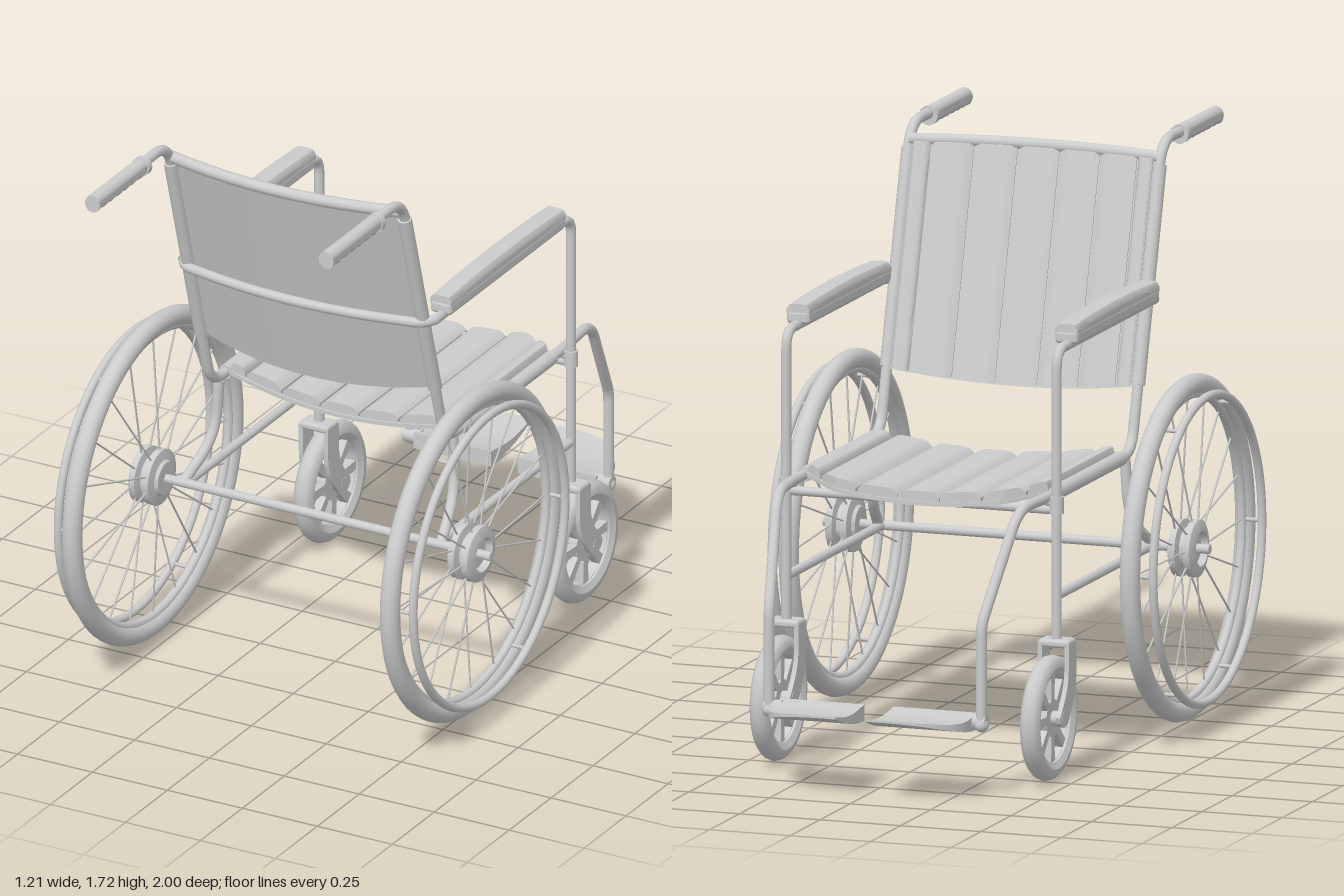
import * as THREE from 'three';
import { toCreasedNormals } from 'three/addons/utils/BufferGeometryUtils.js';
import { RoundedBoxGeometry } from 'three/addons/geometries/RoundedBoxGeometry.js';

const mat = new THREE.MeshStandardMaterial({ color: 0xcccccc, side: THREE.DoubleSide });
const V = (x, y, z) => new THREE.Vector3(x, y, z);

function add(parent, name, geo, x = 0, y = 0, z = 0) {
  const m = new THREE.Mesh(geo, mat);
  m.name = name;
  m.position.set(x, y, z);
  parent.add(m);
  return m;
}

// straight round bar between two points
function bar(parent, name, a, b, r, sides = 14) {
  const m = add(parent, name, new THREE.CylinderGeometry(r, r, a.distanceTo(b), sides));
  m.position.copy(a).lerp(b, 0.5);
  m.quaternion.setFromUnitVectors(V(0, 1, 0), b.clone().sub(a).normalize());
  return m;
}

// bent tube: straight runs joined by rounded corners of the given size
function bentTube(parent, name, pts, bends, r, segs = 120) {
  const path = new THREE.CurvePath();
  let last = pts[0];
  for (let i = 1; i < pts.length - 1; i++) {
    const p = pts[i], k = bends[i - 1];
    const a = p.clone().add(pts[i - 1].clone().sub(p).setLength(k));
    const b = p.clone().add(pts[i + 1].clone().sub(p).setLength(k));
    path.add(new THREE.LineCurve3(last, a));
    path.add(new THREE.QuadraticBezierCurve3(a, p, b));
    last = b;
  }
  path.add(new THREE.LineCurve3(last, pts[pts.length - 1]));
  return add(parent, name, new THREE.TubeGeometry(path, segs, r, 12));
}

// move every vertex of a unit box by a rule
function shapedBox(sx, sy, sz, rule) {
  const g = new THREE.BoxGeometry(1, 1, 1, sx, sy, sz), p = g.attributes.position;
  for (let i = 0; i < p.count; i++) {
    const q = rule(p.getX(i) + 0.5, p.getY(i) + 0.5, p.getZ(i) + 0.5);
    p.setXYZ(i, q.x, q.y, q.z);
  }
  return toCreasedNormals(g, 0.7);
}

// sling of cloth: a backing sheet plus padded strips; at(x, v, h) places a point
function sling(parent, name, at, sheet, pad) {
  const g = new THREE.Group();
  g.name = name;
  parent.add(g);
  add(g, name + 'Sheet', shapedBox(24, 8, 1, (u, v, w) => at((u - 0.5) * 0.76, v, w * sheet)));
  const seams = [-0.375, -0.32, -0.195, -0.065, 0.065, 0.195, 0.32, 0.375];
  for (let i = 0; i < seams.length - 1; i++) {
    const a = seams[i] + 0.003, b = seams[i + 1] - 0.003;
    add(g, name + 'Strip', shapedBox(8, 10, 1, (u, v, w) => {
      const puff = 0.5 + 0.5 * Math.sqrt(1 - Math.pow(2 * u - 1, 4));
      return at(a + (b - a) * u, 0.01 + 0.98 * v, sheet * 0.5 + w * pad * puff);
    }));
  }
}

const lathe = (pts, segs = 40) => toCreasedNormals(
  new THREE.LatheGeometry(pts.map(p => new THREE.Vector2(p[0], p[1])), segs).rotateZ(-Math.PI / 2), 0.6);
const ring = (R, r, sides = 14, segs = 72) => new THREE.TorusGeometry(R, r, sides, segs).rotateY(Math.PI / 2);

function driveWheel() {
  const w = new THREE.Group();
  w.name = 'driveWheel';
  add(w, 'tyre', ring(0.48, 0.03));
  add(w, 'rim', ring(0.452, 0.014, 10));
  add(w, 'pushRim', ring(0.453, 0.013, 12), 0.062);
  // hub drum with a recessed outer face
  add(w, 'hub', lathe([[0, -0.045], [0.05, -0.045], [0.055, -0.035], [0.085, -0.03], [0.085, -0.01], [0.06, -0.005],
    [0.06, 0.01], [0.085, 0.015], [0.085, 0.035], [0.06, 0.045], [0.052, 0.045], [0.045, 0.025], [0, 0.025]]));
  const n = 20;
  for (let i = 0; i < n; i++) {
    const a = (i / n) * Math.PI * 2, b = a + (i % 2 ? 0.06 : -0.06);
    bar(w, 'spoke', V(i % 2 ? 0.022 : -0.02, 0.075 * Math.cos(b), 0.075 * Math.sin(b)),
      V(0, 0.448 * Math.cos(a), 0.448 * Math.sin(a)), 0.003, 6);
  }
  for (let i = 0; i < 6; i++) {
    const a = (i + 0.5) / 6 * Math.PI * 2, c = Math.cos(a) * 0.453, s = Math.sin(a) * 0.453;
    bar(w, 'pushRimStud', V(0, c, s), V(0.062, c, s), 0.006, 8);
  }
  return w;
}

function caster() {
  const c = new THREE.Group();
  c.name = 'caster';
  // tyre with an oval section
  add(c, 'casterTyre', lathe([[0.13, -0.02], [0.15, -0.03], [0.168, -0.027], [0.18, -0.016], [0.185, 0],
    [0.18, 0.016], [0.168, 0.027], [0.15, 0.03], [0.13, 0.02], [0.13, -0.02]], 48));
  // disc pierced by wedge windows
  const disc = new THREE.Shape().absarc(0, 0, 0.135, 0, Math.PI * 2);
  for (let i = 0; i < 8; i++) {
    const a = (i + 0.5) / 8 * Math.PI * 2, h = new THREE.Path();
    h.absarc(0, 0, 0.128, a - 0.27, a + 0.27, false);
    h.absarc(0, 0, 0.055, a + 0.17, a - 0.17, true);
    h.closePath();
    disc.holes.push(h);
  }
  add(c, 'casterSpokes', new THREE.ExtrudeGeometry(disc, { depth: 0.026, bevelEnabled: false, curveSegments: 24 })
    .translate(0, 0, -0.013).rotateY(Math.PI / 2));
  bar(c, 'casterAxle', V(-0.05, 0, 0), V(0.05, 0, 0), 0.022);
  // fork cheeks, drawn with the shape's x running forward
  const s = new THREE.Shape();
  s.moveTo(-0.1, 0.215);
  s.lineTo(-0.1, 0.14);
  s.bezierCurveTo(-0.1, 0.06, -0.06, 0.02, -0.035, -0.01);
  s.bezierCurveTo(-0.01, -0.04, 0.035, -0.025, 0.035, 0.008);
  s.bezierCurveTo(0.01, 0.04, -0.035, 0.08, -0.035, 0.14);
  s.lineTo(-0.035, 0.215);
  for (const x of [-0.049, 0.035]) {
    add(c, 'forkCheek', toCreasedNormals(new THREE.ExtrudeGeometry(s, { depth: 0.014, bevelEnabled: false })
      .rotateY(Math.PI / 2).translate(x, 0, 0), 0.5));
  }
  add(c, 'forkCrown', new RoundedBoxGeometry(0.098, 0.024, 0.068, 3, 0.01), 0, 0.212, 0.068);
  return c;
}

function sideFrame() {
  const g = new THREE.Group();
  g.name = 'sideFrame';
  // one continuous tube: handle, back post, seat rail, footrest leg
  bentTube(g, 'mainTube', [V(0.39, 1.7, 0.97), V(0.39, 1.71, 0.552), V(0.39, 0.83, 0.296), V(0.39, 0.83, -0.42),
    V(0.375, 0.83, -0.6), V(0.33, 0.52, -0.79), V(0.33, 0.22, -0.79)], [0.08, 0.07, 0.05, 0.07, 0.03], 0.016, 180);
  bar(g, 'backSleeve', V(0.39, 1.64, 0.533), V(0.39, 1.02, 0.352), 0.021);
  bar(g, 'seatSleeve', V(0.39, 0.83, 0.21), V(0.39, 0.83, -0.34), 0.022);
  // grip with finger notches along the underside
  const grip = new THREE.CylinderGeometry(0.025, 0.025, 0.3, 20, 60).rotateX(Math.PI / 2), p = grip.attributes.position;
  for (let i = 0; i < p.count; i++) {
    const under = Math.max(0, -p.getY(i) / 0.025), z = p.getZ(i);
    p.setY(i, p.getY(i) * 1.1 + under * 0.005 * (1 - Math.cos((z + 0.15) / 0.3 * Math.PI * 14)) / 2);
  }
  add(g, 'grip', toCreasedNormals(grip, 0.8), 0.39, 1.7, 0.85);
  add(g, 'gripCollar', new THREE.CylinderGeometry(0.029, 0.029, 0.02, 20).rotateX(Math.PI / 2), 0.39, 1.7, 0.705);
  // arm tube running down to the caster
  bentTube(g, 'armTube', [V(0.42, 1.268, 0.41), V(0.42, 1.268, -0.405), V(0.42, 0.4, -0.405)], [0.055], 0.015, 80);
  add(g, 'armPadBase', new RoundedBoxGeometry(0.072, 0.04, 0.69, 3, 0.012), 0.417, 1.29, 0.025);
  add(g, 'armPad', shapedBox(8, 3, 20, (u, v, w) => {
    const e = Math.sqrt(1 - Math.pow(2 * u - 1, 4)), f = 1 - Math.pow(2 * w - 1, 2);
    return V(0.417 + (u - 0.5) * 0.07, 1.3 + v * (0.015 + 0.015 * e + 0.01 * f), -0.318 + w * 0.685);
  }));
  // lower frame
  bar(g, 'lowerRail', V(0.42, 0.54, 0.39), V(0.42, 0.54, -0.405), 0.014);
  bentTube(g, 'axleStrut', [V(0.39, 0.82, 0.245), V(0.4, 0.64, 0.25), V(0.43, 0.54, 0.39)], [0.09], 0.016, 50);
  add(g, 'postJoint', new THREE.CylinderGeometry(0.021, 0.021, 0.05, 16), 0.42, 0.81, -0.405);
  bar(g, 'railLink', V(0.39, 0.82, -0.405), V(0.43, 0.81, -0.405), 0.015);
  // footrest: thin curved toe, thick heel, rounded outer corner
  add(g, 'footplate', shapedBox(12, 3, 16, (u, v, w) => {
    const t = 1 - w, k = Math.max(0, (t - 0.3) / 0.7);
    const width = 0.08 + 0.18 * Math.sqrt(1 - k * k);
    const top = 0.252 - 0.014 * Math.sin(Math.PI * t) + 0.006 * t, low = 0.202 + 0.05 * Math.pow(t, 1.8);
    return V(0.045 + u * width, low + (top - low) * v, -0.76 - 0.24 * t);
  }));
  bar(g, 'footplateHinge', V(0.29, 0.23, -0.785), V(0.345, 0.23, -0.785), 0.022);
  add(g, 'legEnd', new THREE.SphereGeometry(0.021, 14, 10), 0.33, 0.222, -0.79);

  const wheel = driveWheel(), small = caster();
  wheel.position.set(0.53, 0.54, 0.39);
  small.position.set(0.42, 0.19, -0.47);
  g.add(wheel, small);
  return g;
}

export function createModel() {
  const chair = new THREE.Group();
  chair.name = 'wheelchair';
  const left = sideFrame(), right = left.clone();
  left.name = 'leftSide';
  right.name = 'rightSide';
  right.scale.x = -1;
  chair.add(left, right);

  const bow = x => 1 - (x / 0.38) ** 2;
  // seat sags in the middle and has clipped front corners
  sling(chair, 'seat', (x, v, h) => {
    const front = -0.43 + Math.max(0, Math.abs(x) - 0.26) * 0.67, back = 0.21 + 0.02 * bow(x);
    return V(x, 0.828 - 0.045 * bow(x) + h, back + (front - back) * v);
  }, 0.012, 0.036);
  // back bows rearward and follows the slope of the posts
  sling(chair, 'backrest', (x, v, h) => {
    const low = 1.02 - 0.035 * bow(x), y = 1.67 + (low - 1.67) * v;
    return V(x, y - h * 0.28, 0.31 + 0.29 * (y - 0.88) + 0.058 * bow(x) - h);
  }, 0.01, 0.018);

  const arc = (a, m, b) => new THREE.TubeGeometry(new THREE.QuadraticBezierCurve3(a, m, b), 32, 0.018, 12);
  add(chair, 'backTopBar', arc(V(-0.39, 1.662, 0.535), V(0, 1.662, 0.645), V(0.39, 1.662, 0.535)));
  bentTube(chair, 'rearArmBar', [V(-0.42, 1.268, 0.4), V(-0.4, 1.266, 0.44), V(0, 1.266, 0.52), V(0.4, 1.266, 0.44),
    V(0.42, 1.268, 0.4)], [0.03, 0.3, 0.03], 0.015, 80);
  bar(chair, 'axle', V(-0.6, 0.54, 0.39), V(0.6, 0.54, 0.39), 0.014);
  bar(chair, 'frontCrossBar', V(-0.42, 0.795, -0.405), V(0.42, 0.795, -0.405), 0.014);
  return chair;
}
